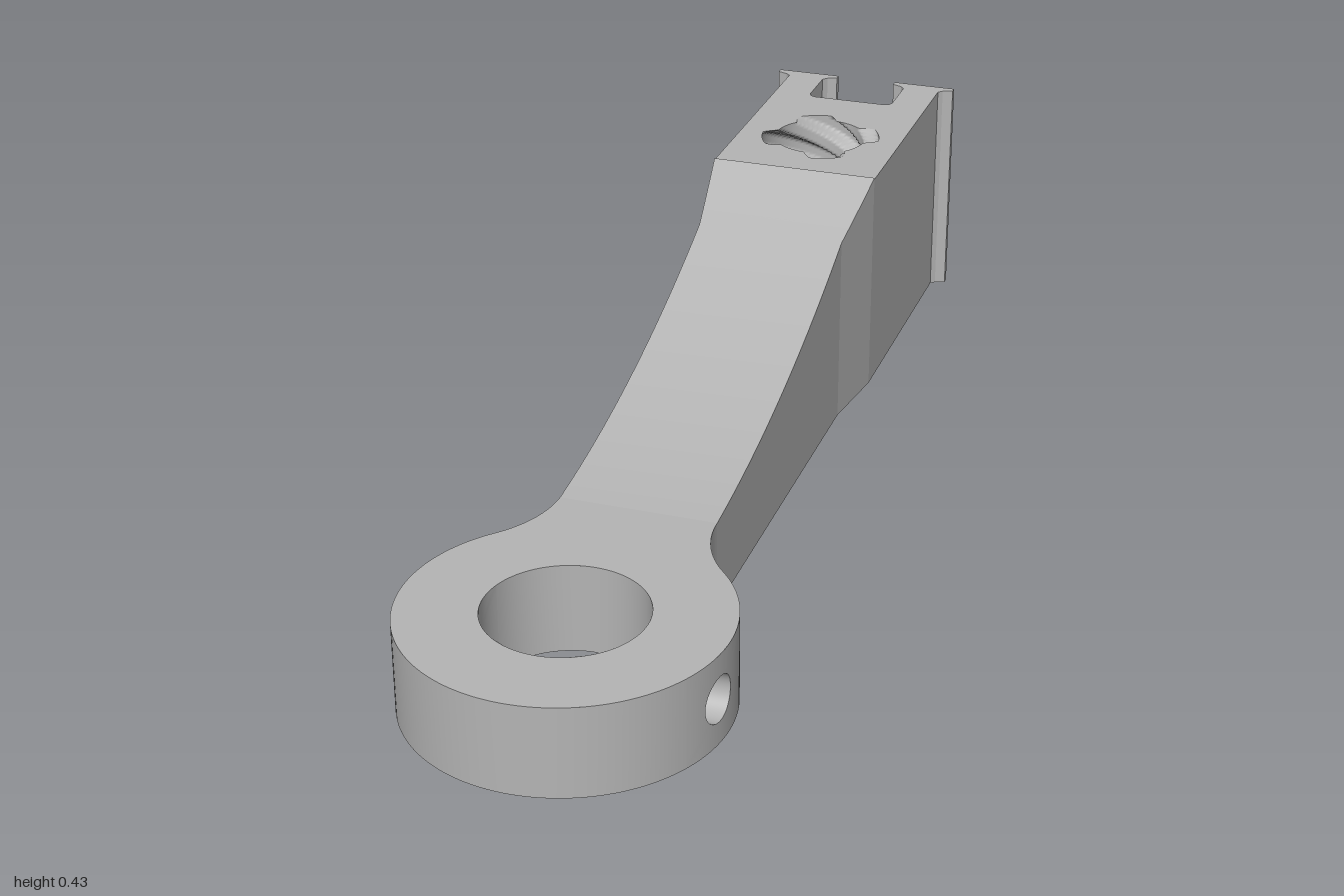
import * as THREE from 'three';
import { mergeGeometries } from 'three/addons/utils/BufferGeometryUtils.js';

const { sqrt, sin, cos, asin, abs, max, min, PI } = Math;
const EYE_Z = 0.73, EYE_R = 0.27, BORE_R = 0.135, EYE_H = 0.16;
const ARM_W = 0.138, ARM_Z = 0.4, HEAD_W = 0.158, HEAD_Z = -0.48, HEAD_H = 0.427;
const PIN_DZ = 0.045, PIN_Y = 0.08, PIN_R = 0.04, PATCH = 0.08;
const SCREW_Z = -0.66, SCREW_R = 0.088, GROOVE = 0.026, LEAD = 0.3;

// Surface over a nu x nv grid; f(u, v) gives a point with u, v in 0..1
function grid(f, nu, nv, flip = false) {
  const pos = [], idx = [];
  for (let j = 0; j <= nv; j++) for (let i = 0; i <= nu; i++) pos.push(...f(i / nu, j / nv));
  for (let j = 0; j < nv; j++) for (let i = 0; i < nu; i++) {
    const a = j * (nu + 1) + i, b = a + 1, c = b + nu + 1, d = c - 1;
    idx.push(...(flip ? [a, c, b, a, d, c] : [a, b, c, a, c, d]));
  }
  const g = new THREE.BufferGeometry();
  g.setAttribute('position', new THREE.Float32BufferAttribute(pos, 3));
  g.setIndex(idx);
  g.computeVertexNormals();
  return g;
}

// The same surface on both sides of the model
const pair = (f, nu, nv, flip = false) => mergeGeometries([
  grid(f, nu, nv, flip),
  grid((u, v) => { const p = f(u, v); return [-p[0], p[1], p[2]]; }, nu, nv, !flip),
]);

const samples = (n, f) => Array.from({ length: n + 1 }, (_, i) => f(i / n));
const lerp = THREE.MathUtils.lerp;
const arc = (r, a0, a1) => u => {
  const a = lerp(a0, a1, u);
  return [r * cos(a), EYE_Z + r * sin(a)];
};

// Vertical wall under a plan curve
const wall = (curve, n, height) => pair((u, v) => {
  const [x, z] = curve(u);
  return [x, v * height, z];
}, n, 1);

// Flat face from the right half of a plan outline, mirrored, with a hole
function cap(half, holes, y, up) {
  const full = [...half, ...half.slice().reverse().map(([x, z]) => [-x, z])];
  const s = up ? -1 : 1;
  const toV = ([x, z]) => new THREE.Vector2(x, s * z);
  const shape = new THREE.Shape(full.map(toV));
  for (const h of holes) shape.holes.push(new THREE.Path(h.map(toV)));
  return new THREE.ShapeGeometry(shape).rotateX(s * PI / 2).translate(0, y, 0);
}

// Height and half width along the arm
const armTop = z => { const d = ARM_Z - z; return EYE_H + 0.0881 * d + 0.2485 * d * d; };

// Four-start thread radius
const threadR = (t, y) => SCREW_R + GROOVE *
  max(0, min(1, 0.4 + 1.5 * cos(4 * (t + 0.38 + 2 * PI * (y - HEAD_H) / LEAD))));
const threadPoint = (t, y) => [threadR(t, y) * cos(t), SCREW_Z + threadR(t, y) * sin(t)];

export function createModel() {
  const steel = new THREE.MeshStandardMaterial({ color: 0xb4b4b4, side: THREE.DoubleSide });
  steel.name = 'grey steel';
  const root = new THREE.Group();
  root.name = 'leverArm';
  const group = name => { const g = new THREE.Group(); g.name = name; root.add(g); return g; };
  const add = (parent, name, geometry) => {
    const m = new THREE.Mesh(geometry, steel);
    m.name = name;
    parent.add(m);
  };

  // Fillet between the eye and the arm
  const dz = EYE_Z - ARM_Z;
  const filletR = (ARM_W ** 2 + dz ** 2 - EYE_R ** 2) / (2 * (EYE_R - ARM_W));
  const touch = Math.atan2(dz, ARM_W + filletR);
  const fillet = u => {
    const a = lerp(PI - touch, PI, u);
    return [ARM_W + filletR + filletR * cos(a), ARM_Z + filletR * sin(a)];
  };

  // Eye: walls, with a patch around each cross hole
  const eye = group('eye');
  const edge = (r, s) => asin((PIN_DZ + s * PATCH) / r);
  add(eye, 'eyeOuterWall', mergeGeometries([
    wall(arc(EYE_R, PI / 2, edge(EYE_R, 1)), 24, EYE_H),
    wall(arc(EYE_R, edge(EYE_R, -1), -touch), 16, EYE_H),
  ]));
  add(eye, 'neckFillet', wall(fillet, 16, EYE_H));
  add(eye, 'boreWall', mergeGeometries([
    wall(arc(BORE_R, -PI / 2, edge(BORE_R, -1)), 24, EYE_H),
    wall(arc(BORE_R, edge(BORE_R, 1), PI / 2), 10, EYE_H),
  ]));
  const onWall = (r, d, y) => [sqrt(r * r - d * d), y, EYE_Z + d];
  const patch = r => (u, v) => {
    const c = cos(2 * PI * u), s = sin(2 * PI * u);
    const k = lerp(PIN_R, PATCH / max(abs(c), abs(s)), v);
    return onWall(r, PIN_DZ + k * c, PIN_Y + k * s);
  };
  add(eye, 'outerHolePatch', pair(patch(EYE_R), 64, 10));
  add(eye, 'boreHolePatch', pair(patch(BORE_R), 64, 10, true));
  add(eye, 'crossHole', pair((u, v) => {
    const a = patch(EYE_R)(u, 0), b = patch(BORE_R)(u, 0);
    return [lerp(a[0], b[0], v), a[1], a[2]];
  }, 64, 1, true));

  const bore = samples(96, arc(BORE_R, 0, 2 * PI)).slice(0, -1);
  const eyeHalf = [
    ...samples(60, arc(EYE_R, PI / 2, -touch)).slice(1),
    ...samples(16, fillet).slice(1),
  ];
  eyeHalf.unshift([0, EYE_Z + EYE_R]);
  add(eye, 'eyeTop', cap(eyeHalf, [bore], EYE_H, true));

  // Arm: curved top and two side walls, flaring towards the head
  const arm = group('arm');
  const FLARE_Z = -0.33;
  const spans = [[ARM_W, ARM_Z, ARM_W, FLARE_Z], [ARM_W, FLARE_Z, HEAD_W, HEAD_Z]];
  for (const [x0, z0, x1, z1] of spans) {
    add(arm, 'armSide', pair((u, v) => {
      const z = lerp(z0, z1, u);
      return [lerp(x0, x1, u), v * armTop(z), z];
    }, 24, 1));
    add(arm, 'armTop', grid((u, v) => {
      const z = lerp(z0, z1, v);
      return [(2 * u - 1) * lerp(x0, x1, v), armTop(z), z];
    }, 1, 24));
  }

  // Head: straight walls, end flanges and the open slot
  const head = group('head');
  const headHalf = [
    [HEAD_W, HEAD_Z], [HEAD_W, -0.972], [0.166, -0.98], [0.185, -0.987], [0.185, -1],
    [0.06, -1], [0.06, -0.987], [0.078, -0.98], [0.086, -0.97], [0.086, -0.882],
    [0.082, -0.873], [0.073, -0.868], [0, -0.868],
  ];
  add(head, 'headWalls', mergeGeometries(headHalf.slice(1).map((b, i) => {
    const a = headHalf[i];
    return wall(u => [lerp(a[0], b[0], u), lerp(a[1], b[1], u)], 1, HEAD_H);
  })));
  const screwEdge = y => samples(128, u => threadPoint(2 * PI * u, y)).slice(0, -1);
  add(head, 'headTop', cap(headHalf, [screwEdge(HEAD_H)], HEAD_H, true));
  add(head, 'threadedHole', grid((u, v) => {
    const y = v * HEAD_H, [x, z] = threadPoint(2 * PI * u, y);
    return [x, y, z];
  }, 128, 96));

  // Flat underside of the whole lever
  const plan = [...eyeHalf, [ARM_W, FLARE_Z], ...headHalf];
  add(root, 'underside', cap(plan, [bore, screwEdge(0)], 0, false));
  return root;
}
